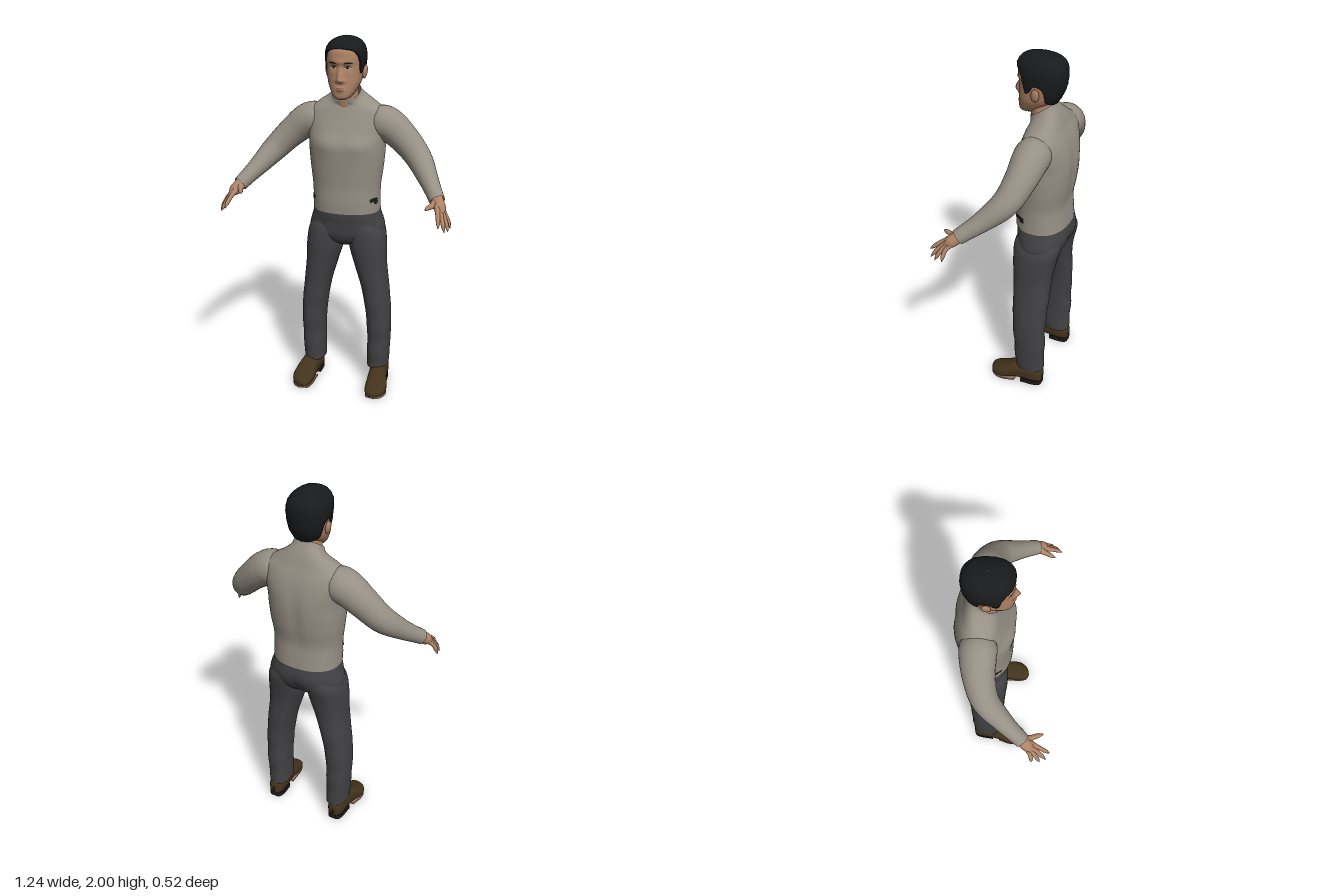
import * as THREE from 'three';
import { mergeVertices } from 'three/addons/utils/BufferGeometryUtils.js';

const mat = (name, color, side = THREE.FrontSide) => {
  const m = new THREE.MeshStandardMaterial({ color, side });
  m.name = name;
  return m;
};
const { sin, cos, abs, sign, pow, exp, PI } = Math;
const V = (x, y, z) => new THREE.Vector3(x, y, z);
const hump = (x, c, w) => exp(-(((x - c) / w) ** 2));

// Smooth interpolation of table rows, keyed by their first number
function section(table, y) {
  const n = table.length;
  let i = 0;
  while (i < n - 2 && y > table[i + 1][0]) i++;
  const slope = (k, c) => {
    const a = table[Math.max(k - 1, 0)], b = table[Math.min(k + 1, n - 1)];
    return (b[c] - a[c]) / (b[0] - a[0]);
  };
  const p = table[i], q = table[i + 1], h = q[0] - p[0];
  const t = Math.min(Math.max((y - p[0]) / h, 0), 1), t2 = t * t, t3 = t2 * t;
  return p.map((_, c) => (2 * t3 - 3 * t2 + 1) * p[c] + (t3 - 2 * t2 + t) * h * slope(i, c)
    + (3 * t2 - 2 * t3) * q[c] + (t3 - t2) * h * slope(i + 1, c));
}

// Surface from a rule f(u, v), welded and smooth
function grid(f, nu, nv) {
  const pos = [], idx = [];
  for (let j = 0; j <= nv; j++) for (let i = 0; i <= nu; i++) pos.push(...f(i / nu, j / nv).toArray());
  for (let j = 0; j < nv; j++) for (let i = 0; i < nu; i++) {
    const a = j * (nu + 1) + i, c = a + nu + 1;
    idx.push(a, a + 1, c, a + 1, c + 1, c);
  }
  let g = new THREE.BufferGeometry();
  g.setAttribute('position', new THREE.Float32BufferAttribute(pos, 3));
  g.setIndex(idx);
  g = mergeVertices(g, 1e-5);
  g.computeVertexNormals();
  return g;
}

// Point on an upright body; rows are [y, half width, front z, back z, centre x]
function bodyPoint(table, a, y, n = 2.2) {
  const [, rx, zf, zb, cx = 0] = section(table, y);
  const s = sin(a), c = cos(a), e = 2 / n;
  return V(cx + rx * sign(s) * pow(abs(s), e), y, (zf + zb) / 2 + (zf - zb) / 2 * sign(c) * pow(abs(c), e));
}
function body(table, nu, nv, n, bend = (p) => p) {
  const y0 = table[0][0], y1 = table[table.length - 1][0];
  return grid((u, v) => bend(bodyPoint(table, u * 2 * PI, y0 + (y1 - y0) * v, n)), nu, nv);
}

// Tapered tube through points, with radii spaced evenly along it
function limb(points, radii, seg, sides) {
  const curve = new THREE.CatmullRomCurve3(points.map((p) => V(...p)));
  let g = new THREE.TubeGeometry(curve, seg, 1, sides);
  const pos = g.attributes.position, table = radii.map((r, i) => [i / (radii.length - 1), r]);
  for (let i = 0; i < pos.count; i++) {
    const t = Math.floor(i / (sides + 1)) / seg, c = curve.getPointAt(t);
    const p = V().fromBufferAttribute(pos, i).sub(c).multiplyScalar(Math.max(section(table, t)[1], 0.0005)).add(c);
    pos.setXYZ(i, p.x, p.y, p.z);
  }
  g.deleteAttribute('uv');
  g.deleteAttribute('normal');
  g = mergeVertices(g, 1e-5);
  g.computeVertexNormals();
  return g;
}

const TORSO = [[1.06, .187, .035, -.25], [1.12, .186, .037, -.245], [1.2, .188, .035, -.24], [1.3, .2, .04, -.255],
  [1.38, .207, .045, -.262], [1.44, .21, .042, -.262], [1.5, .22, .018, -.255], [1.56, .23, -.006, -.24],
  [1.61, .215, -.025, -.22], [1.645, .16, -.035, -.2], [1.67, .11, -.035, -.18], [1.69, .084, -.03, -.163], [1.715, .074, -.026, -.153]];
const PELVIS = [[.85, .04, -.06, -.15], [.88, .13, -.01, -.2], [.92, .2, .012, -.235], [.96, .212, .018, -.253],
  [1.0, .203, .022, -.258], [1.04, .19, .028, -.252], [1.08, .18, .028, -.243]];
const LEG = [[.11, -.02, -.19, .06, .191], [.14, -.02, -.19, .062, .192], [.3, -.014, -.194, .065, .195],
  [.45, -.005, -.195, .07, .19], [.6, 0, -.203, .076, .17], [.75, .008, -.207, .09, .14],
  [.85, .015, -.222, .103, .124], [.95, .014, -.243, .1, .112], [1.0, 0, -.235, .08, .1]]
  .map(([y, f, b, r, x]) => [y, r, f, b, x]);
const HEAD = [[1.68, .018, .02, -.02], [1.69, .04, .034, -.05], [1.71, .058, .038, -.085], [1.74, .074, .037, -.125],
  [1.77, .086, .036, -.155], [1.81, .093, .035, -.18], [1.85, .097, .033, -.193], [1.9, .097, .038, -.196],
  [1.94, .088, .03, -.185], [1.97, .062, 0, -.15], [1.985, .02, -.05, -.1]];
const HAIR = [[1.74, .075, .03, -.155], [1.8, .095, .036, -.19], [1.86, .104, .04, -.205], [1.92, .104, .047, -.207],
  [1.955, .091, .04, -.197], [1.98, .066, .014, -.17], [1.993, .035, -.025, -.13], [2.0, .002, -.078, -.082]];
const HAIRLINE = [[0, 1.945], [42, 1.928], [58, 1.89], [66, 1.82], [78, 1.825], [88, 1.86], [106, 1.845], [120, 1.775], [180, 1.75]];

// Nose, brow, sockets and lips raised on the front of the head
function faceRelief(x, y) {
  const nose = hump(x, 0, .011 + .009 * hump(y, 1.775, .02)) * (y > 1.785 ? hump(y, 1.785, .05) : hump(y, 1.785, .014));
  return .03 * nose + .006 * hump(y, 1.875, .014) * hump(x, 0, .06)
    - .007 * hump(abs(x), .037, .018) * hump(y, 1.85, .013) + .008 * hump(y, 1.738, .014) * hump(x, 0, .025);
}
const HEAD_N = 2.3;
function faceZ(x, y) {
  const [, rx, zf, zb] = section(HEAD, y);
  return (zf + zb) / 2 + (zf - zb) / 2 * pow(Math.max(1 - pow(abs(x / rx), HEAD_N), 0), 1 / HEAD_N) + faceRelief(x, y);
}
// Lens-shaped plate lying on the face
const facePlate = (cx, cy, w, h, arch, lift) => grid((u, v) => {
  const k = 1 - (2 * u - 1) ** 2, x = cx + (u - .5) * w;
  const y = cy + arch * k + (v - .5) * h * Math.sqrt(k);
  return V(x, y, faceZ(x, y) + lift);
}, 12, 4);

export function createModel() {
  const model = new THREE.Group();
  const shirt = mat('warm grey knit', 0x969085, THREE.DoubleSide), trousers = mat('charcoal cloth', 0x424244, THREE.DoubleSide);
  const skin = mat('skin', 0xb08467), hairBlack = mat('black hair', 0x191a1b, THREE.DoubleSide);
  const leather = mat('brown leather', 0x43341c), soleTan = mat('tan sole', 0xa27d68), heelBlack = mat('black heel', 0x1e1b18);
  const lipColor = mat('lip', 0x925f50), eyeWhite = mat('eye white', 0xb5a598);

  const add = (name, geo, material) => {
    const mesh = new THREE.Mesh(geo, material);
    mesh.name = name;
    model.add(mesh);
  };
  // Adds a part on the left (+x) and its mirror image on the right
  const pair = (name, geo, material) => {
    const left = geo.index ? geo : mergeVertices(geo), right = left.clone().scale(-1, 1, 1), ix = right.index;
    for (let i = 0; i < ix.count; i += 3) {
      const a = ix.getX(i);
      ix.setX(i, ix.getX(i + 1));
      ix.setX(i + 1, a);
    }
    add(name + 'Left', left, material);
    add(name + 'Right', right, material);
  };

  // Sweater: chest relief, spine groove and a collar rising at the back
  add('sweater', body(TORSO, 56, 60, 2.25, (p) => {
    if (p.z > -.06) p.z += .008 * hump(abs(p.x), .085, .06) * hump(p.y, 1.44, .05);
    else p.z += .01 * hump(p.x, 0, .03) * hump(p.y, 1.4, .18);
    p.y += .68 * THREE.MathUtils.smoothstep(p.y, 1.62, 1.71) * (-.09 - p.z);
    return p;
  }), shirt);
  pair('sleeve', limb([[.12, 1.555, -.12], [.215, 1.54, -.12], [.305, 1.475, -.11], [.395, 1.385, -.075], [.47, 1.295, .015], [.54, 1.212, .12]],
    [.07, .092, .09, .083, .077, .072, .066, .058, .05, .044, .04], 40, 24), shirt);

  // Dark marks near the hem
  for (const [deg, y, w, h] of [[64, 1.137, 26, .022], [70, 1.122, 14, .022], [56, 1.128, 8, .012]]) {
    pair('hemMark', grid((u, v) => {
      const k = Math.sqrt(1 - (2 * u - 1) ** 2), a = (deg + (u - .5) * w) * PI / 180;
      return bodyPoint(TORSO, a, y + (v - .5) * h * k, 2.25).add(V(.003 * sin(a), 0, .003 * cos(a)));
    }, 10, 3), hairBlack);
  }

  // Trousers
  add('trouserSeat', body(PELVIS, 48, 24, 2.3, (p) => {
    if (p.z < -.11) p.z += .016 * hump(p.x, 0, .025) * hump(p.y, .92, .07);
    return p;
  }), trousers);
  pair('trouserLeg', body(LEG, 36, 50, 2.3, (p) => {
    p.z += .0025 * sin(p.y * 38) * hump(p.y, .3, .25);
    return p;
  }), trousers);

  // Shoes: rows are [z, half width, top, bottom, centre x]
  const SHOE = [[-.192, .004, .075, .04, .2], [-.185, .03, .105, .026, .2], [-.15, .046, .125, .022, .2], [-.08, .05, .132, .022, .203],
    [-.02, .053, .122, .018, .21], [.03, .06, .09, .009, .217], [.075, .059, .068, .008, .218], [.11, .044, .052, .008, .213], [.126, .024, .04, .01, .207], [.132, .003, .026, .018, .203]];
  pair('shoe', grid((u, v) => {
    const [z, w, top, bottom, cx] = section(SHOE, -.192 + .324 * (.5 - .5 * cos(v * PI)));
    const a = u * 2 * PI, s = sin(a), c = cos(a), e = c < 0 ? .5 : .9;
    return V(cx - w * sign(s) * pow(abs(s), e), (top + bottom) / 2 + (top - bottom) / 2 * sign(c) * pow(abs(c), e), z);
  }, 28, 32), leather);
  // Sole plate and heel block cut to the shoe's outline
  const solePart = (z0, z1, depth, trim) => {
    const pts = [];
    for (let i = 0; i <= 32; i++) {
      const side = i <= 16 ? 1 : -1, t = i <= 16 ? i / 16 : (32 - i) / 16;
      const [z, w, , , cx] = section(SHOE, z0 + (z1 - z0) * t);
      pts.push(new THREE.Vector2(cx + side * w * trim, -z));
    }
    return new THREE.ExtrudeGeometry(new THREE.Shape(pts.reverse()), { depth, bevelEnabled: false }).rotateX(-PI / 2);
  };
  pair('sole', solePart(-.03, .128, .011, .96), soleTan);
  pair('heel', solePart(-.188, -.07, .03, .95), heelBlack);

  // Hands: each finger runs from the wrist over its knuckle
  const wrist = [.538, 1.213, .118];
  pair('wrist', limb([[.515, 1.24, .085], wrist, [.562, 1.183, .155], [.575, 1.165, .178]], [.03, .033, .032, .03, .012], 14, 16), skin);
  const fingers = [
    [[.557, 1.168, .203], [.567, 1.138, .24], [.571, 1.115, .264]],
    [[.577, 1.152, .2], [.592, 1.115, .23], [.6, 1.092, .247]],
    [[.59, 1.147, .186], [.607, 1.112, .207], [.614, 1.088, .217]],
    [[.596, 1.148, .166], [.612, 1.116, .173], [.618, 1.093, .176]]];
  for (const f of fingers) pair('finger', limb([wrist, ...f], [.02, .021, .017, .012, .011, .01, .002], 18, 10), skin);
  pair('thumb', limb([wrist, [.52, 1.198, .165], [.505, 1.196, .2], [.495, 1.192, .226]], [.02, .022, .016, .013, .011, .002], 16, 10), skin);

  // Neck and head
  add('neck', limb([[0, 1.6, -.1], [0, 1.7, -.087], [0, 1.82, -.08]], [.06, .064, .062, .06], 12, 28), skin);
  add('head', body(HEAD, 96, 90, HEAD_N, (p) => {
    if (p.z > -.06) p.z += faceRelief(p.x, p.y);
    return p;
  }), skin);
  pair('ear', new THREE.SphereGeometry(1, 16, 12).scale(.012, .036, .022).rotateZ(-.15).rotateX(-.15).translate(.101, 1.815, -.085), skin);

  // Face details
  pair('eyebrow', facePlate(.042, 1.868, .046, .009, .005, .003), hairBlack);
  pair('eye', facePlate(.038, 1.847, .034, .012, 0, .002), eyeWhite);
  pair('iris', facePlate(.037, 1.847, .014, .012, 0, .004), hairBlack);
  pair('eyelid', facePlate(.038, 1.851, .038, .005, .003, .0045), hairBlack);
  pair('nostril', facePlate(.009, 1.773, .009, .005, 0, .001), lipColor);
  add('upperLip', facePlate(0, 1.742, .048, .008, .001, .002), lipColor);
  add('lowerLip', facePlate(0, 1.732, .042, .008, -.002, .002), lipColor);

  // Hair cap with a shaped hairline and a tousled surface
  add('hair', grid((u, v) => {
    const a = u * 2 * PI, low = section(HAIRLINE, Math.min(u, 1 - u) * 360)[1];
    const t = Math.max(v - 1 / 28, 0) / (27 / 28);
    const p = bodyPoint(HAIR, a, low + (2 - low) * sin(t * PI / 2), HEAD_N);
    const tousle = v < .01 ? -.014 : .0025 * sin(150 * p.x + 1) * sin(170 * p.y) * sin(140 * p.z) * cos(t * PI / 2);
    return p.add(V(sin(a) * tousle, 0, cos(a) * tousle));
  }, 96, 28), hairBlack);

  return model;
}
